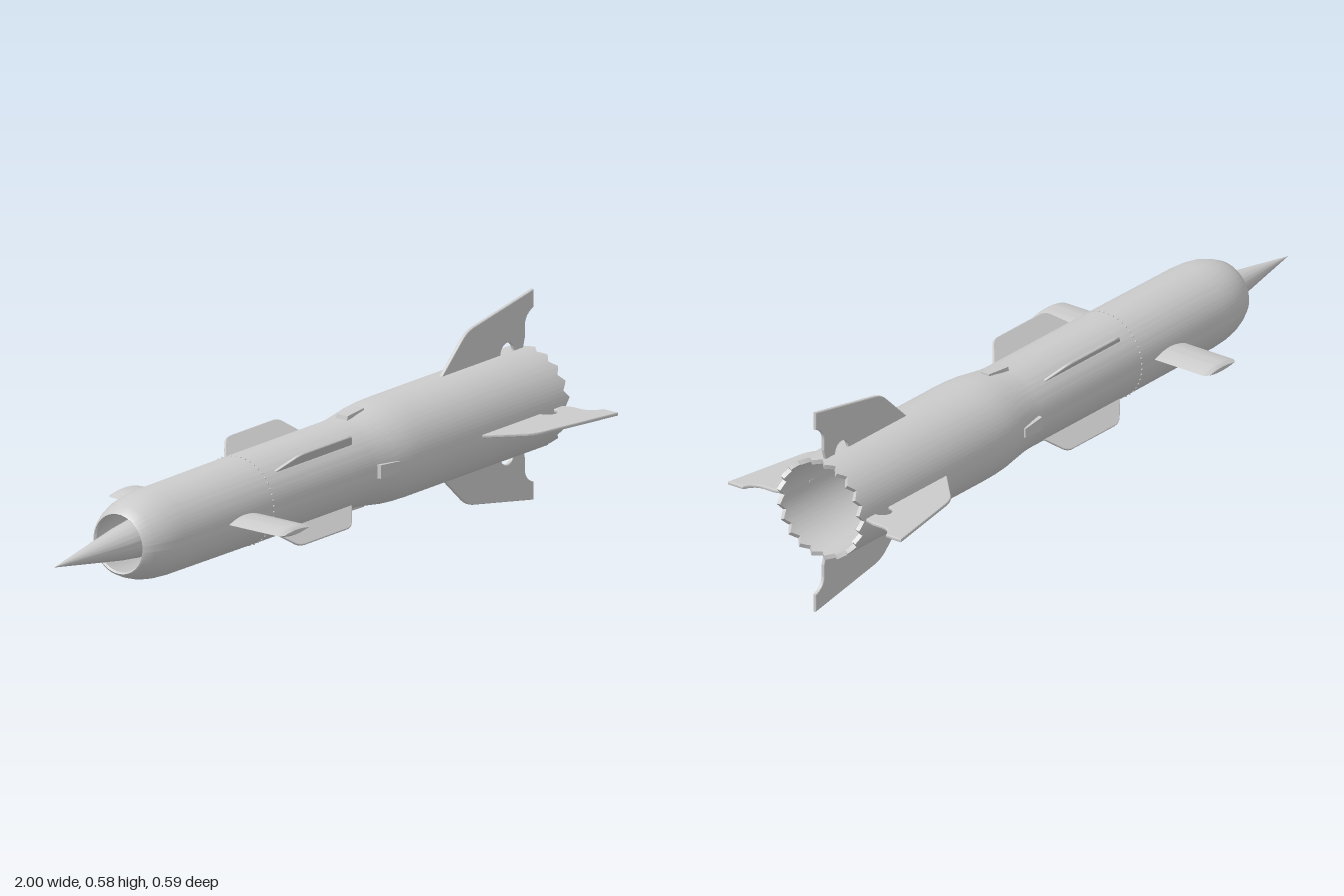
import * as THREE from 'three';
import { toCreasedNormals } from 'three/addons/utils/BufferGeometryUtils.js';

const AXIS_Y = 0.288;
const TEETH = 20;
const material = new THREE.MeshStandardMaterial({ color: 0xcccccc, side: THREE.DoubleSide });

function part(name, geometry, parent) {
  const mesh = new THREE.Mesh(geometry, material);
  mesh.name = name;
  parent.add(mesh);
  return mesh;
}

// Revolve [x, radius] points around the x axis
function revolve(points, segments) {
  const profile = points.map(([x, r]) => new THREE.Vector2(r, x));
  return new THREE.LatheGeometry(profile, segments).rotateZ(-Math.PI / 2);
}

// Flat plate in the x-y plane with rounded edges, centred on z = 0
function plate(shape, thickness) {
  const b = thickness * 0.3;
  const geometry = new THREE.ExtrudeGeometry(shape, {
    depth: thickness - 2 * b, bevelThickness: b, bevelSize: b, bevelOffset: -b,
    bevelSegments: 2, curveSegments: 10,
  });
  return geometry.translate(0, 0, b - thickness / 2);
}

// Repeat a geometry four times around the body
function aroundBody(name, geometry, startAngle, parent) {
  for (let i = 0; i < 4; i++) {
    part(name, geometry, parent).rotation.x = startAngle + i * Math.PI / 2;
  }
}

// Hollow body: intake duct, lip, outer skin, toothed rim and exhaust duct
function bodyGeometry() {
  const geometry = revolve([
    [-0.45, 0.035], [-0.45, 0.1], [-0.62, 0.1], [-0.725, 0.077],
    [-0.73, 0.081], [-0.725, 0.087], [-0.7, 0.099], [-0.67, 0.109], [-0.635, 0.115], [-0.59, 0.118],
    [-0.2, 0.12], [0.19, 0.12], [0.22, 0.122], [0.27, 0.129], [0.31, 0.135], [0.35, 0.138],
    [0.4, 0.139], [0.955, 0.139],
    [0.985, 0.139], [0.985, 0.127], [0.955, 0.127],
    [0.35, 0.118], [0.05, 0.075], [0, 0.04],
  ], TEETH * 8);
  const p = geometry.attributes.position;
  for (let i = 0; i < p.count; i++) {
    if (p.getX(i) < 0.97) continue;
    const turn = Math.atan2(p.getZ(i), p.getY(i)) / (2 * Math.PI) * TEETH;
    const wave = Math.abs(2 * (turn - Math.floor(turn)) - 1);
    p.setX(i, 0.985 - 0.02 * wave);
  }
  return toCreasedNormals(geometry, 0.5);
}

// Swept tail fin with a cut-back trailing edge and a half-round hinge gap
function tailFinShape() {
  const s = new THREE.Shape();
  s.moveTo(0.6, 0.125);
  s.lineTo(0.62, 0.142);
  s.lineTo(0.7, 0.217);
  s.quadraticCurveTo(0.72, 0.237, 0.75, 0.243);
  s.lineTo(1, 0.288);
  s.lineTo(1, 0.238);
  s.quadraticCurveTo(0.965, 0.225, 0.965, 0.195);
  s.lineTo(0.965, 0.165);
  s.lineTo(0.955, 0.13);
  s.lineTo(0.917, 0.13);
  s.lineTo(0.917, 0.139);
  s.absarc(0.89, 0.139, 0.027, 0, Math.PI, false);
  s.lineTo(0.863, 0.125);
  s.closePath();
  return s;
}

// Low strake with rounded top corners
function strakeShape() {
  const s = new THREE.Shape();
  s.moveTo(-0.185, 0.112);
  s.lineTo(-0.18, 0.122);
  s.lineTo(-0.14, 0.164);
  s.quadraticCurveTo(-0.128, 0.177, -0.105, 0.177);
  s.lineTo(0.07, 0.177);
  s.quadraticCurveTo(0.085, 0.177, 0.097, 0.167);
  s.lineTo(0.137, 0.122);
  s.lineTo(0.14, 0.112);
  s.closePath();
  return s;
}

// Lens-section canard running along +z, softened at the tip
function canardGeometry() {
  const s = new THREE.Shape();
  s.moveTo(-0.065, 0);
  s.quadraticCurveTo(0, 0.026, 0.065, 0);
  s.quadraticCurveTo(0, -0.026, -0.065, 0);
  const root = 0.1, tip = 0.293, soft = 0.025;
  const geometry = new THREE.ExtrudeGeometry(s, {
    depth: tip - root, steps: 40, bevelEnabled: false, curveSegments: 14,
  }).translate(0, 0, root);
  const p = geometry.attributes.position;
  for (let i = 0; i < p.count; i++) {
    const t = Math.max(0, (p.getZ(i) - tip + soft) / soft);
    p.setX(i, p.getX(i) * (1 - 0.2 * t ** 4));
    p.setY(i, p.getY(i) * (1 - 0.6 * t ** 3));
  }
  return toCreasedNormals(geometry, 0.6).translate(-0.35, 0, 0);
}

// Small wedge that narrows toward the rear
function fairingGeometry() {
  const s = new THREE.Shape();
  s.moveTo(0.2, 0.105);
  s.lineTo(0.205, 0.131);
  s.lineTo(0.28, 0.135);
  s.lineTo(0.28, 0.105);
  s.closePath();
  const geometry = new THREE.ExtrudeGeometry(s, { depth: 0.038, bevelEnabled: false }).translate(0, 0, -0.019);
  const p = geometry.attributes.position;
  for (let i = 0; i < p.count; i++) {
    p.setZ(i, p.getZ(i) * (1 - 4 * (p.getX(i) - 0.2)));
  }
  geometry.computeVertexNormals();
  return geometry;
}

export function createModel() {
  const model = new THREE.Group();
  model.name = 'missile';
  const body = new THREE.Group();
  body.name = 'airframe';
  body.position.y = AXIS_Y;
  model.add(body);

  part('bodyTube', bodyGeometry(), body);

  // Pointed intake spike, carried back into the duct
  part('noseSpike', toCreasedNormals(revolve([
    [-1, 0], [-0.73, 0.044], [-0.66, 0.052], [-0.45, 0.045], [-0.44, 0],
  ], 48), 0.5), body);

  // Plug in the middle of the exhaust
  part('exhaustPlug', toCreasedNormals(revolve([[-0.02, 0.04], [0.005, 0.04], [0.03, 0]], 12), 0.4), body);

  aroundBody('tailFin', plate(tailFinShape(), 0.01), 0, body);
  aroundBody('strake', plate(strakeShape(), 0.007), Math.PI / 4, body);
  aroundBody('fairing', fairingGeometry(), 0, body);

  // Canards on the two sides
  const canard = canardGeometry();
  for (const turn of [0, Math.PI]) part('canard', canard, body).rotation.x = turn;

  // Ring of rivets at the forward joint
  const rivet = new THREE.SphereGeometry(0.003, 8, 6);
  const rivets = new THREE.Group();
  rivets.name = 'rivetRing';
  body.add(rivets);
  for (let i = 0; i < 48; i++) {
    const a = (i + 0.5) / 48 * Math.PI * 2;
    part('rivet', rivet, rivets).position.set(-0.23, Math.cos(a) * 0.12, Math.sin(a) * 0.12);
  }
  return model;
}
